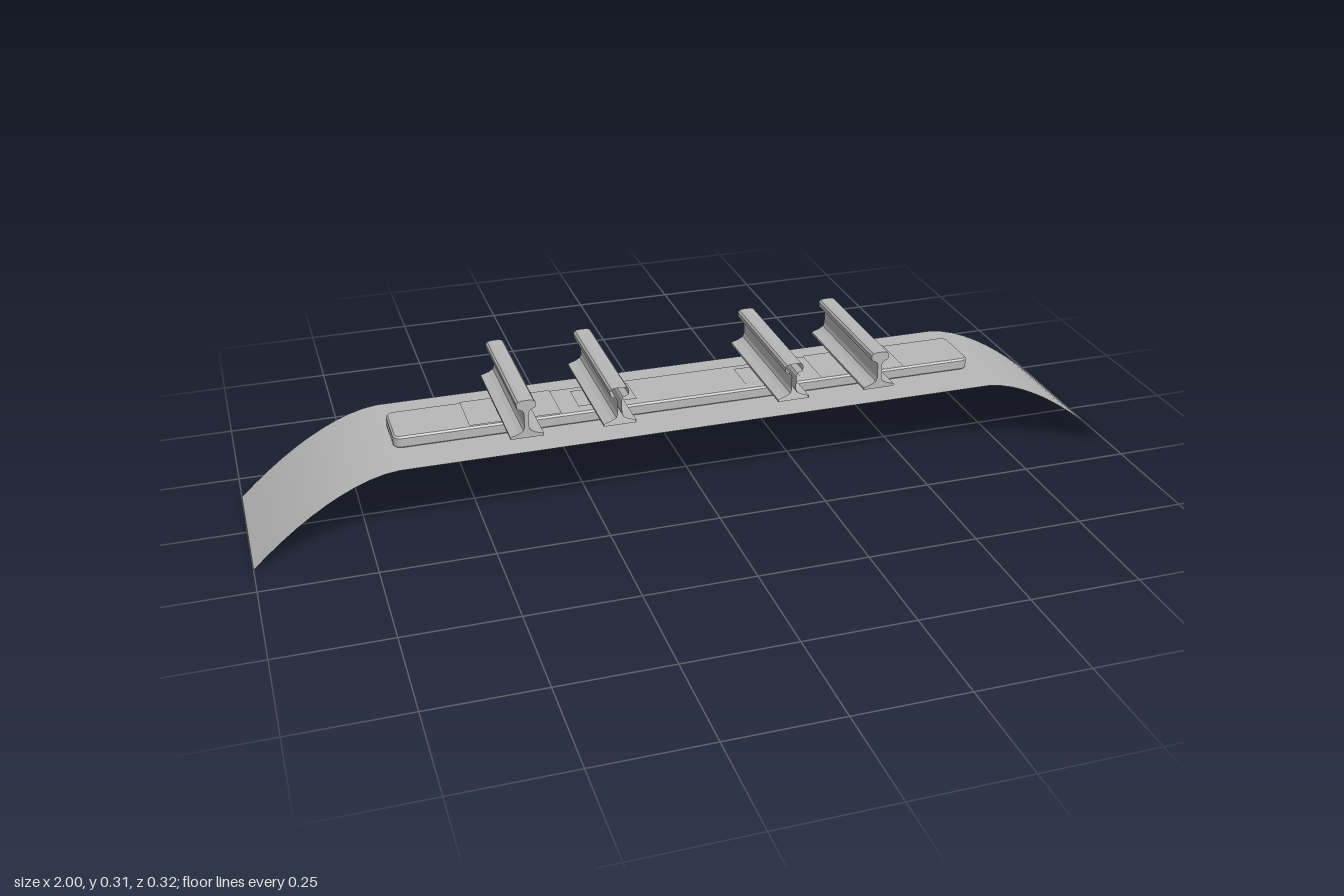
import * as THREE from 'three';

const steel = new THREE.MeshStandardMaterial({ color: 0xb8b8b8, side: THREE.DoubleSide });
steel.name = 'plain grey';
const HALF_Z = 0.162;

function add(group, name, geometry, x = 0, y = 0, z = 0) {
  const mesh = new THREE.Mesh(geometry, steel);
  mesh.name = name;
  mesh.position.set(x, y, z);
  group.add(mesh);
  return mesh;
}

// Thin ballast sheet: flat crown with shoulders curving down at both ends
function ballastGeometry() {
  const n = 10, flat = 0.68, top = 0.185, profile = [];
  for (let i = 0; i <= n; i++) {
    const t = i / n;
    profile.push([flat + (1 - flat) * t, top * (1 - t ** 1.65)]);
  }
  const line = [...profile.map(([x, y]) => [-x, y]).reverse(), ...profile];
  const geometry = new THREE.PlaneGeometry(2, HALF_Z * 2, line.length - 1, 1);
  geometry.rotateX(-Math.PI / 2);
  const pos = geometry.attributes.position;
  for (let i = 0; i < pos.count; i++) {
    const [x, y] = line[i % line.length];
    pos.setXY(i, x, y);
  }
  geometry.computeVertexNormals();
  return geometry;
}

// Sleeper with rounded plan corners and small bevels
function sleeperGeometry() {
  const b = 0.004, w = 0.676 - b, d = 0.064 - b, r = 0.014;
  const s = new THREE.Shape();
  s.moveTo(-w + r, -d);
  s.lineTo(w - r, -d);
  s.absarc(w - r, -d + r, r, -Math.PI / 2, 0);
  s.absarc(w - r, d - r, r, 0, Math.PI / 2);
  s.absarc(-w + r, d - r, r, Math.PI / 2, Math.PI);
  s.absarc(-w + r, -d + r, r, Math.PI, Math.PI * 1.5);
  const geometry = new THREE.ExtrudeGeometry(s, {
    depth: 0.02, bevelThickness: b, bevelSize: b, bevelSegments: 1, curveSegments: 4,
  });
  return geometry.rotateX(-Math.PI / 2).translate(0, 0.184 + b, 0);
}

// Rail cross-section, mirrored about its web
function railGeometry(capped) {
  const half = [
    [0.0365, 0.22], [0.0365, 0.225], [0.018, 0.231], [0.008, 0.237], [0.005, 0.245],
    [0.005, 0.278], [0.008, 0.284], [0.02, 0.29], [0.021, 0.301], [0.017, 0.306], [0.009, 0.308],
  ];
  const points = [...half, ...half.map(([x, y]) => [-x, y]).reverse()];
  const shape = new THREE.Shape(points.map(([x, y]) => new THREE.Vector2(x, y)));
  const geometry = new THREE.ExtrudeGeometry(shape, { depth: HALF_Z * 2, bevelEnabled: false });
  geometry.translate(0, 0, -HALF_Z);
  if (capped) return geometry;
  // Open-ended shell: keep only the side faces
  const sides = geometry.groups[1];
  const open = new THREE.BufferGeometry();
  for (const key of ['position', 'normal']) {
    const part = geometry.attributes[key].array.slice(sides.start * 3, (sides.start + sides.count) * 3);
    open.setAttribute(key, new THREE.BufferAttribute(part, 3));
  }
  return open;
}

function plateGeometry(width, depth) {
  return new THREE.PlaneGeometry(width, depth).rotateX(-Math.PI / 2);
}

export function createModel() {
  const model = new THREE.Group();
  model.name = 'trackSection';
  add(model, 'ballast', ballastGeometry());
  add(model, 'sleeper', sleeperGeometry());

  for (const side of [-1, 1]) {
    const label = side > 0 ? 'left' : 'right';
    // Running rail with its wide base plate
    add(model, label + 'RunningRail', railGeometry(true), side * 0.405);
    add(model, label + 'BasePlate', plateGeometry(0.205, 0.12), side * 0.408, 0.2145);
    // Guard rail with its narrow base plate
    add(model, label + 'GuardRail', railGeometry(false), side * 0.2);
    add(model, label + 'GuardPlate', plateGeometry(0.134, 0.08), side * 0.195, 0.2145);
  }
  return model;
}
